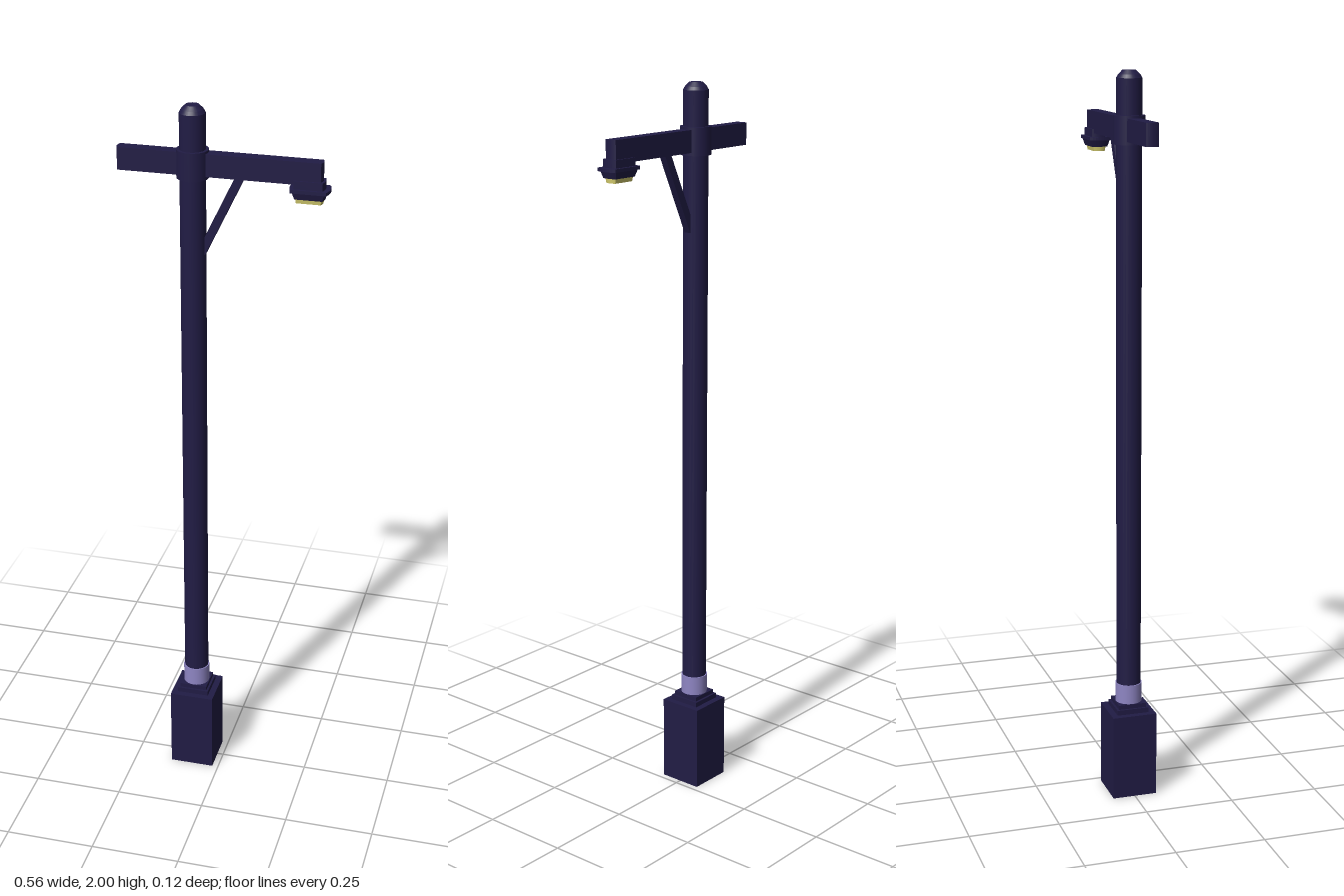
import * as THREE from 'three';

const DARK = 0x211c45, LILAC = 0x8f86c4, GLOW = 0xd8d070;
const POLE_X = -0.08;

export function createModel() {
  const group = new THREE.Group();

  const add = (name, geometry, x, y, z = 0, color = DARK, flat = false) => {
    const material = new THREE.MeshStandardMaterial({ color, flatShading: flat });
    const mesh = new THREE.Mesh(geometry, material);
    mesh.name = name;
    mesh.position.set(x, y, z);
    group.add(mesh);
    return mesh;
  };
  const box = (name, w, h, d, x, y) => add(name, new THREE.BoxGeometry(w, h, d), x, y);

  // Horizontal slab with softly bowed ends, standing on y = 0; taper scales its foot
  const bowedSlab = (x0, x1, halfDepth, height, bow, taperX = 1, taperZ = 1) => {
    const l = (x1 - x0) / 2, d = halfDepth;
    const s = new THREE.Shape();
    s.moveTo(-l + bow, -d);
    s.lineTo(l - bow, -d);
    s.quadraticCurveTo(l + bow, 0, l - bow, d);
    s.lineTo(-l + bow, d);
    s.quadraticCurveTo(-l - bow, 0, -l + bow, -d);
    const g = new THREE.ExtrudeGeometry(s, { depth: height, bevelEnabled: false, curveSegments: 8 });
    g.rotateX(-Math.PI / 2);
    const p = g.attributes.position;
    for (let i = 0; i < p.count; i++) {
      if (p.getY(i) < height / 2) {
        p.setX(i, p.getX(i) * taperX);
        p.setZ(i, p.getZ(i) * taperZ);
      }
    }
    g.computeVertexNormals();
    return g;
  };

  // Square base with stepped top
  box('base', 0.125, 0.24, 0.125, POLE_X, 0.12);
  box('baseStep', 0.09, 0.014, 0.09, POLE_X, 0.247);
  box('baseUpperStep', 0.078, 0.014, 0.078, POLE_X, 0.259);

  // Pale band around the pole foot
  add('band', new THREE.CylinderGeometry(0.037, 0.037, 0.055, 24), POLE_X, 0.2925, 0, LILAC);

  // Pole with a chamfered cap
  add('pole', new THREE.CylinderGeometry(0.034, 0.034, 1.715, 24, 1, true), POLE_X, 1.1225);
  const cap = [[0.034, 1.98], [0.029, 1.989], [0.018, 2], [0, 2]];
  for (let i = 0; i < cap.length - 1; i++) {
    const pts = [cap[i], cap[i + 1]].map(([r, y]) => new THREE.Vector2(r, y));
    add('poleCap', new THREE.LatheGeometry(pts, 24), POLE_X, 0);
  }

  // Collar clamping the arm
  add('collar', new THREE.CylinderGeometry(0.042, 0.042, 0.075, 24), POLE_X, 1.848);

  // Cross arm
  add('arm', bowedSlab(-0.28, 0.26, 0.017, 0.06, 0.004), -0.01, 1.819, 0, DARK, true);

  // Diagonal brace
  const a = new THREE.Vector2(-0.056, 1.61), b = new THREE.Vector2(0.047, 1.825);
  const brace = box('brace', 0.022, a.distanceTo(b), 0.02, (a.x + b.x) / 2, (a.y + b.y) / 2);
  brace.rotation.z = -Math.atan2(b.x - a.x, b.y - a.y);

  // Lamp: neck, brim, tapered shade and glowing lens
  add('lampNeck', bowedSlab(0.184, 0.266, 0.022, 0.03, 0.004), 0.225, 1.8, 0, DARK, true);
  add('lampBrim', bowedSlab(0.174, 0.279, 0.03, 0.009, 0.006), 0.2265, 1.8, 0, DARK, true);
  add('lampShade', bowedSlab(0.18, 0.272, 0.027, 0.018, 0.005, 0.87, 0.8), 0.2255, 1.782, 0, DARK, true);
  add('lampLens', bowedSlab(0.188, 0.262, 0.018, 0.014, 0.004, 0.96, 0.85), 0.225, 1.77, 0, GLOW, true);

  return group;
}
